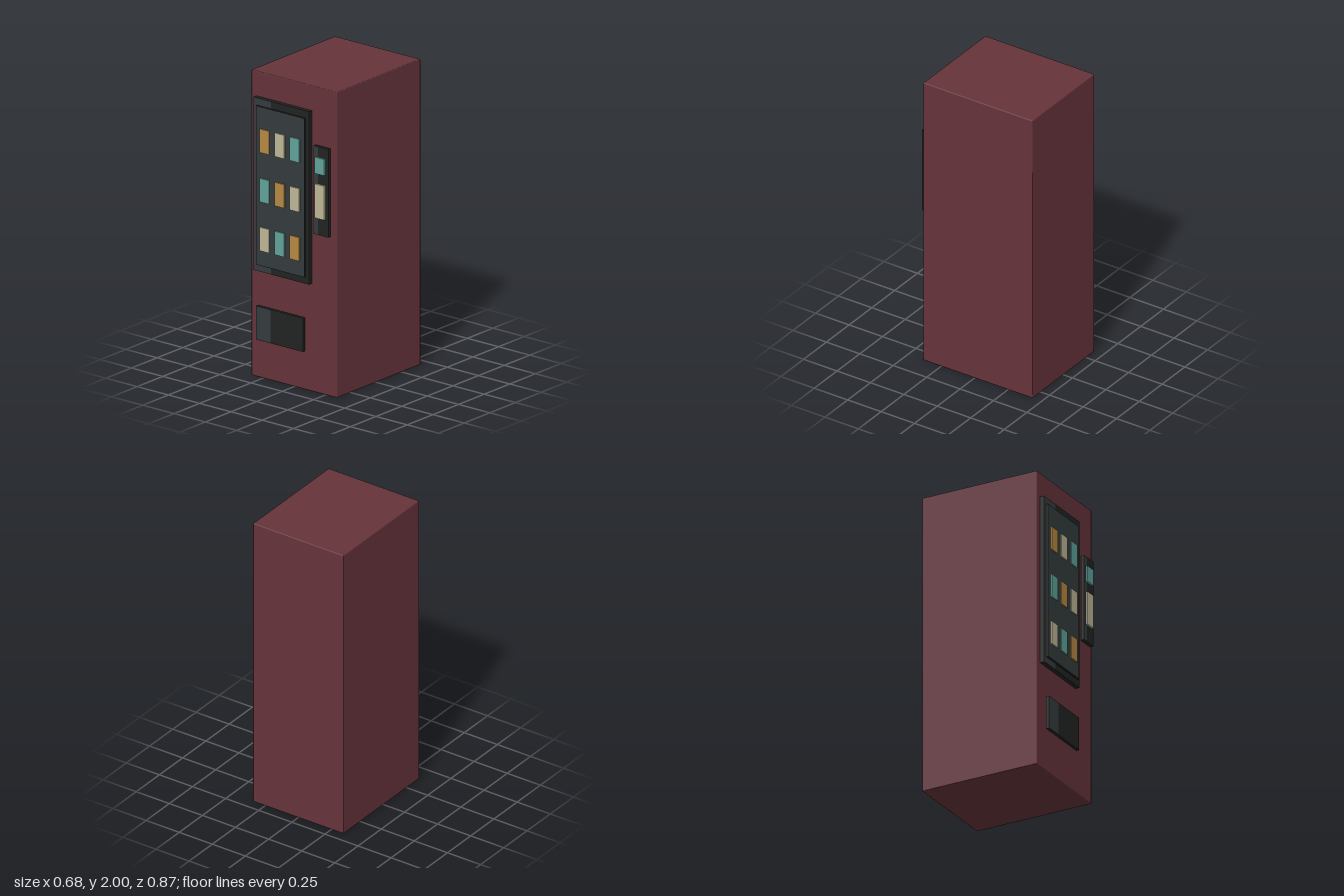
import * as THREE from 'three';
import { RoundedBoxGeometry } from 'three/addons/geometries/RoundedBoxGeometry.js';

const material = (name, color) => {
  const m = new THREE.MeshStandardMaterial({ color });
  m.name = name;
  return m;
};

export function createModel() {
  const group = new THREE.Group();
  group.name = 'vendingMachine';
  const maroon = material('maroon', 0x66343b);
  const black = material('black', 0x222323);
  const slate = material('slate', 0x353c3d);
  const amber = material('amber', 0xb88a44);
  const cream = material('cream', 0xc0b898);
  const teal = material('teal', 0x62a59c);

  // Box given by its extents on each axis
  const box = (name, mat, [x0, x1], [y0, y1], [z0, z1], radius = 0) => {
    const w = x1 - x0, h = y1 - y0, d = z1 - z0;
    const geometry = radius
      ? new RoundedBoxGeometry(w, h, d, 1, radius)
      : new THREE.BoxGeometry(w, h, d);
    const mesh = new THREE.Mesh(geometry, mat);
    mesh.name = name;
    mesh.position.set((x0 + x1) / 2, (y0 + y1) / 2, (z0 + z1) / 2);
    group.add(mesh);
  };

  // Black panel whose front has a slate strip from its right edge to xSplit
  const panel = (name, x, y, z, xSplit) => {
    box(name, black, x, y, z);
    box(name + 'Sheen', slate, [x[0] + 0.002, xSplit], [y[0] + 0.002, y[1] - 0.002], [z[1], z[1] + 0.001]);
  };

  // Cabinet
  box('cabinet', maroon, [-0.342, 0.342], [0, 2], [-0.433, 0.384], 0.006);

  // Display window: frame, pane body and glass face
  panel('windowFrame', [-0.3, 0.142], [0.705, 1.837], [0.383, 0.412], -0.16);
  box('windowPane', black, [-0.273, 0.114], [0.75, 1.79], [0.412, 0.424]);
  box('windowGlass', slate, [-0.27, 0.111], [0.753, 1.787], [0.424, 0.425]);

  // Products, three per shelf, colours shifting along each row
  const colours = [amber, cream, teal];
  [1.57, 1.247, 0.927].forEach((y, row) => {
    [-0.2, -0.079, 0.043].forEach((x, column) => {
      box('product', colours[(column - row + 3) % 3],
        [x - 0.038, x + 0.038], [y - 0.077, y + 0.077], [0.425, 0.433]);
    });
  });

  // Payment panel with screen and keypad
  panel('paymentPanel', [0.183, 0.303], [1.05, 1.627], [0.398, 0.42], 0.222);
  box('screen', teal, [0.205, 0.281], [1.453, 1.559], [0.42, 0.433]);
  box('keypad', cream, [0.205, 0.281], [1.162, 1.384], [0.42, 0.433]);

  // Collection hatch
  panel('collectionHatch', [-0.268, 0.108], [0.262, 0.482], [0.408, 0.429], -0.15);

  return group;
}
